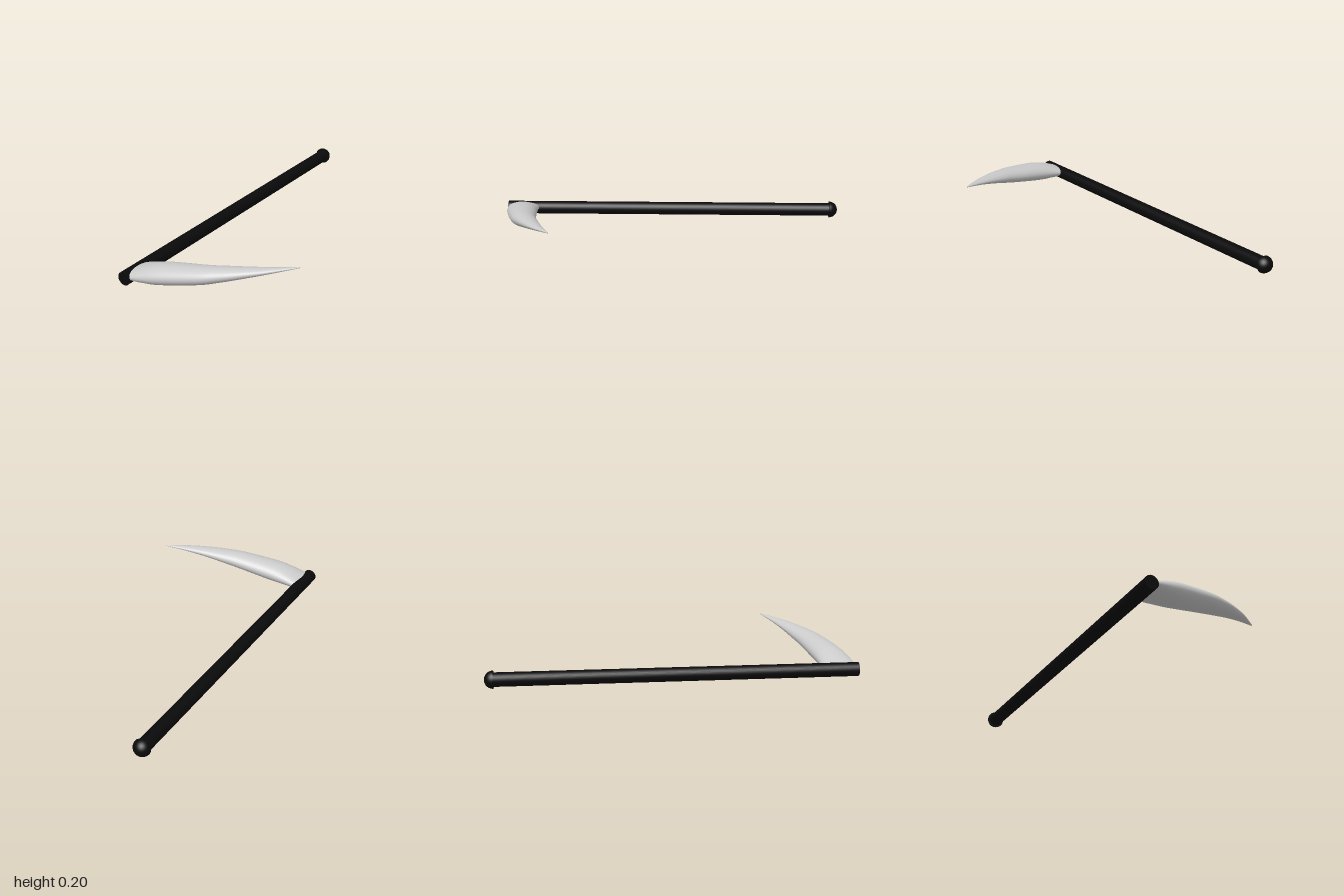
import * as THREE from 'three';

// Blade stations: x, bottom y, top y, back z, front z
const STATIONS = [
  [-0.40, 0.028, 0.080, 0.815, 1.0],
  [-0.36, 0.025, 0.096, 0.81, 0.996],
  [-0.30, 0.024, 0.118, 0.807, 0.99],
  [-0.20, 0.033, 0.143, 0.797, 0.973],
  [0.0, 0.074, 0.169, 0.77, 0.917],
  [0.1, 0.102, 0.179, 0.745, 0.874],
  [0.2, 0.132, 0.187, 0.717, 0.82],
  [0.32, 0.166, 0.195, 0.678, 0.74],
  [0.44, 0.197, 0.203, 0.632, 0.64],
];

// Smooth value of one station column at parameter t (0..1)
function sampler(column) {
  const curve = new THREE.SplineCurve(STATIONS.map((s) => new THREE.Vector2(s[0], s[column])));
  return (t) => curve.getPoint(t);
}

// Elliptical sections lofted along the curved blade, with closed ends
function bladeGeometry(rows = 40, sides = 32) {
  const [low, high, back, front] = [1, 2, 3, 4].map(sampler);
  const positions = [];
  const index = [];
  const section = (t) => ({
    x: low(t).x,
    y: (low(t).y + high(t).y) / 2, ry: (high(t).y - low(t).y) / 2,
    z: (back(t).y + front(t).y) / 2, rz: (front(t).y - back(t).y) / 2,
  });
  for (let i = 0; i <= rows; i++) {
    const s = section(i / rows);
    for (let j = 0; j < sides; j++) {
      const a = (j / sides) * Math.PI * 2;
      positions.push(s.x, s.y + s.ry * Math.cos(a), s.z + s.rz * Math.sin(a));
    }
  }
  for (let i = 0; i < rows; i++) {
    for (let j = 0; j < sides; j++) {
      const a = i * sides + j;
      const b = i * sides + (j + 1) % sides;
      index.push(a, b, a + sides, b, b + sides, a + sides);
    }
  }
  // Root and tip caps
  for (const t of [0, 1]) {
    const s = section(t);
    const centre = positions.length / 3;
    positions.push(s.x, s.y, s.z);
    const base = t * rows * sides;
    for (let j = 0; j < sides; j++) {
      const a = base + j;
      const b = base + (j + 1) % sides;
      if (t) index.push(centre, a, b);
      else index.push(centre, b, a);
    }
  }
  const geometry = new THREE.BufferGeometry();
  geometry.setAttribute('position', new THREE.Float32BufferAttribute(positions, 3));
  geometry.setIndex(index);
  geometry.computeVertexNormals();
  return geometry;
}

export function createModel() {
  const group = new THREE.Group();
  const black = new THREE.MeshStandardMaterial({ color: 0x0a0a0a });
  const grey = new THREE.MeshStandardMaterial({ color: 0xcccccc });

  const add = (name, geometry, material) => {
    const mesh = new THREE.Mesh(geometry, material);
    mesh.name = name;
    group.add(mesh);
    return mesh;
  };

  // Long straight pole lying along z
  const pole = add('pole', new THREE.CylinderGeometry(0.038, 0.038, 1.96, 32), black);
  pole.rotation.x = Math.PI / 2;
  pole.position.set(-0.397, 0.05, 0.02);

  // Domed end knob with a flat inner face, turned as one profile
  const profile = [new THREE.Vector2(0, 0), new THREE.Vector2(0.048, 0)];
  for (let i = 0; i <= 12; i++) {
    const a = (i / 12) * Math.PI / 2;
    profile.push(new THREE.Vector2(0.048 * Math.cos(a), 0.048 * Math.sin(a)));
  }
  const knob = add('endKnob', new THREE.LatheGeometry(profile, 32), black);
  knob.rotation.x = -Math.PI / 2;
  knob.position.set(-0.397, 0.05, -0.952);

  // Curved tapering blade
  add('blade', bladeGeometry(), grey);

  return group;
}
